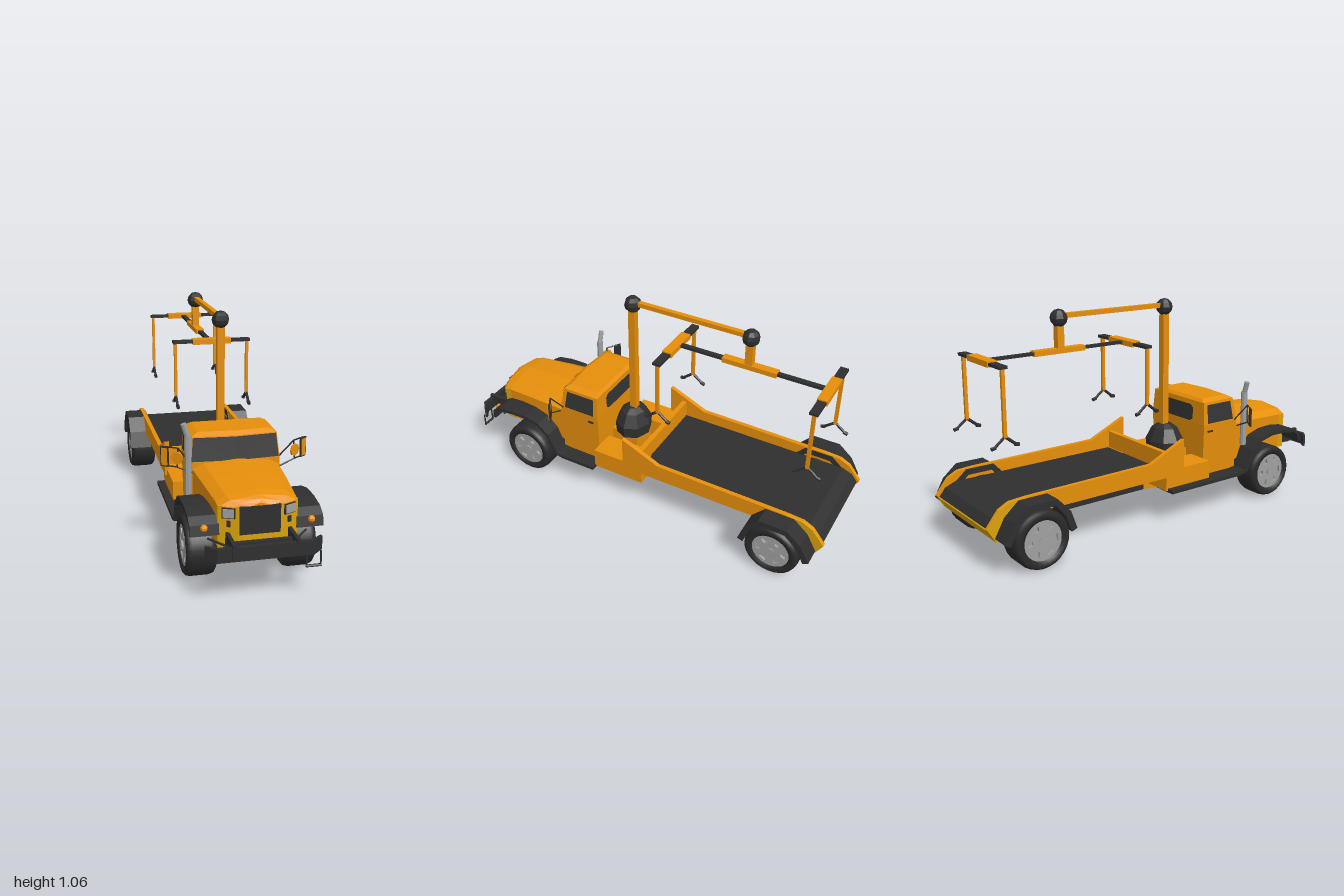
import * as THREE from 'three';

const paint = (name, color, side = THREE.FrontSide) => {
  const m = new THREE.MeshStandardMaterial({ color, side });
  m.name = name;
  return m;
};

export function createModel() {
  const truck = new THREE.Group();
  truck.name = 'craneTruck';
  const orange = paint('orange paint', 0xe68f0a);
  const gold = paint('gold paint', 0xd9a20c);
  const black = paint('black metal', 0x2f2f2f);
  const glass = paint('dark glass', 0x343434, THREE.DoubleSide);
  const rubber = paint('tyre rubber', 0x2a2a2a);
  const steel = paint('grey steel', 0xa0a0a0);

  // ---- helpers ----
  const V = (x, y, z) => new THREE.Vector3(x, y, z);
  const add = (name, geo, mat, smooth = false) => {
    if (!smooth) {
      if (geo.index) geo = geo.toNonIndexed();
      geo.computeVertexNormals();
    }
    const mesh = new THREE.Mesh(geo, mat);
    mesh.name = name;
    truck.add(mesh);
    return mesh;
  };
  // box from its limits in x, y and z
  const box = (name, mat, x0, x1, y0, y1, z0, z1) => add(name,
    new THREE.BoxGeometry(x1 - x0, y1 - y0, z1 - z0)
      .translate((x0 + x1) / 2, (y0 + y1) / 2, (z0 + z1) / 2), mat);
  // straight rod between two points
  const rod = (name, mat, a, b, r, sides = 6) => {
    const d = b.clone().sub(a);
    const g = new THREE.CylinderGeometry(r, r, d.length(), sides);
    g.applyQuaternion(new THREE.Quaternion().setFromUnitVectors(V(0, 1, 0), d.normalize()));
    const m = a.clone().add(b).multiplyScalar(0.5);
    return add(name, g.translate(m.x, m.y, m.z), mat);
  };
  // side profile of [z, y] points, extruded across x
  const profile = (name, mat, pts, x0, x1) => {
    const s = new THREE.Shape(pts.map(([z, y]) => new THREE.Vector2(-z, y)));
    const g = new THREE.ExtrudeGeometry(s, { depth: x1 - x0, bevelEnabled: false });
    return add(name, g.rotateY(Math.PI / 2).translate(x0, 0, 0), mat);
  };
  // bent sheet under a path of [z, y] points, running from front to back
  const sheet = (name, mat, pts, t, x0, x1) => {
    const inner = pts.map(([z, y], i) => {
      const a = pts[Math.max(i - 1, 0)], b = pts[Math.min(i + 1, pts.length - 1)];
      const dz = b[0] - a[0], dy = b[1] - a[1], l = Math.hypot(dz, dy);
      return [z - (dy / l) * t, y + (dz / l) * t];
    });
    return profile(name, mat, [...pts, ...inner.reverse()], x0, x1);
  };
  // closed solid through rings with equal point counts
  const loft = (name, mat, rings) => {
    const n = rings[0].length, last = (rings.length - 1) * n, idx = [];
    const p = rings.flat();
    for (let r = 0; r < rings.length - 1; r++) for (let i = 0; i < n; i++) {
      const a = r * n + i, b = r * n + (i + 1) % n;
      idx.push(a, b, b + n, a, b + n, a + n);
    }
    for (let i = 1; i < n - 1; i++) idx.push(0, i + 1, i, last, last + i, last + i + 1);
    let vol = 0;
    for (let i = 0; i < idx.length; i += 3)
      vol += V(...p[idx[i]]).dot(V(...p[idx[i + 1]]).cross(V(...p[idx[i + 2]])));
    if (vol < 0) idx.reverse();
    const g = new THREE.BufferGeometry();
    g.setAttribute('position', new THREE.Float32BufferAttribute(p.flat(), 3));
    g.setIndex(idx);
    return add(name, g, mat);
  };
  // flat convex plate
  const panel = (name, mat, pts) => {
    const g = new THREE.BufferGeometry().setFromPoints(pts.map(q => V(...q)));
    g.setIndex(pts.slice(2).flatMap((_, i) => [0, i + 1, i + 2]));
    return add(name, g, mat);
  };

  // ---- cab ----
  const cabRing = (y, w, z0, z1) =>
    [[-w, y, z0], [w, y, z0], [w, y, z1], [0, y, z1 + 0.015], [-w, y, z1]];
  loft('cab', orange, [cabRing(0.17, 0.2, 0.245, 0.465), cabRing(0.44, 0.207, 0.245, 0.465),
    cabRing(0.553, 0.196, 0.25, 0.445), cabRing(0.568, 0.165, 0.265, 0.42)]);
  panel('rearWindow', glass, [[-0.12, 0.46], [-0.1, 0.445], [0.1, 0.445], [0.12, 0.46],
    [0.12, 0.515], [0.1, 0.53], [-0.1, 0.53], [-0.12, 0.515]]
    .map(([x, y]) => [x, y, 0.242 + (y - 0.44) * 0.045]));
  for (const s of [-1, 1]) {
    panel('windshield', glass, [[0, 0.443, 0.482], [s * 0.202, 0.443, 0.467],
      [s * 0.192, 0.549, 0.449], [0, 0.549, 0.464]]);
    panel('sideWindow', glass, [[s * 0.209, 0.445, 0.27], [s * 0.209, 0.445, 0.44],
      [s * 0.2, 0.54, 0.425], [s * 0.2, 0.54, 0.27]]);
    box('doorHandle', black, s * 0.207 - 0.005, s * 0.207 + 0.005, 0.4, 0.408, 0.27, 0.3);
  }

  // ---- hood and nose ----
  const hoodRing = (z, w, sh, top, low) => [[-w, low, z], [-w, sh, z], [-w * 0.75, top - 0.015, z],
    [0, top, z], [w * 0.75, top - 0.015, z], [w, sh, z], [w, low, z]];
  loft('hood', orange, [hoodRing(0.46, 0.198, 0.41, 0.45, 0.22),
    hoodRing(0.65, 0.185, 0.405, 0.447, 0.22), hoodRing(0.82, 0.17, 0.395, 0.437, 0.22)]);
  loft('hoodLip', orange, [hoodRing(0.82, 0.172, 0.395, 0.437, 0.388),
    hoodRing(0.862, 0.16, 0.393, 0.43, 0.388), hoodRing(0.883, 0.115, 0.392, 0.42, 0.388),
    hoodRing(0.895, 0.06, 0.39, 0.408, 0.388)]);
  const noseRing = y => [[-0.17, y, 0.8], [-0.17, y, 0.855], [-0.09, y, 0.89],
    [0.09, y, 0.89], [0.17, y, 0.855], [0.17, y, 0.8]];
  loft('nosePanel', gold, [noseRing(0.21), noseRing(0.393)]);
  box('grille', black, -0.086, 0.086, 0.272, 0.395, 0.885, 0.896);
  for (const s of [-1, 1]) {
    const lamp = (name, mat, w, h, d, x, y) => {
      const m = add(name, new THREE.BoxGeometry(w, h, d), mat);
      m.position.set(s * x, y, 0.89 - (x - 0.09) * 0.44);
      m.rotation.y = s * 0.41;
    };
    lamp('headlightFrame', black, 0.056, 0.046, 0.012, 0.128, 0.365);
    lamp('headlight', steel, 0.046, 0.036, 0.022, 0.128, 0.365);
    lamp('markerLamp', black, 0.016, 0.026, 0.012, 0.128, 0.318);
  }

  // ---- front fenders flowing into running boards ----
  for (const s of [-1, 1]) {
    const back = s < 0 ? -0.02 : 0.24;
    const x0 = s < 0 ? -0.287 : 0.165, x1 = s < 0 ? -0.165 : 0.28;
    sheet('frontFender', black, [[0.87, 0.27], [0.86, 0.315], [0.82, 0.34], [0.74, 0.352],
      [0.65, 0.352], [0.57, 0.332], [0.51, 0.28], [0.465, 0.183], [0.43, 0.178], [back, 0.178]],
    0.018, x0, x1);
    const lamp = add('turnSignal', new THREE.SphereGeometry(0.016, 8, 5), orange);
    lamp.position.set(s * 0.228, 0.303, 0.866);
  }

  // ---- bumper ----
  const plan = new THREE.Shape([[-0.245, -0.945], [-0.2, -0.985], [0.2, -0.985], [0.245, -0.945],
    [0.24, -0.935], [0.195, -0.965], [-0.195, -0.965], [-0.24, -0.935]]
    .map(q => new THREE.Vector2(...q)));
  add('bumper', new THREE.ExtrudeGeometry(plan, { depth: 0.06, bevelEnabled: false })
    .rotateX(-Math.PI / 2).translate(0, 0.207, 0.012), black);
  box('bumperCrossbar', black, -0.13, 0.13, 0.22, 0.26, 0.92, 0.94);
  for (const s of [-1, 1]) {
    box('bumperStay', black, s * 0.132 - 0.008, s * 0.132 + 0.008, 0.215, 0.28, 0.82, 1.0);
    rod('bumperBrace', black, V(s * 0.135, 0.24, 0.93), V(s * 0.21, 0.25, 0.85), 0.005);
  }
  for (const x of [0.175, 0.235]) rod('stepSide', black, V(x, 0.21, 0.975), V(x, 0.147, 0.975), 0.004);
  rod('stepTread', black, V(0.172, 0.147, 0.975), V(0.238, 0.147, 0.975), 0.006);

  // ---- mirrors and exhaust ----
  for (const s of [-1, 1]) {
    const mirror = (name, mat, geo, x, z) => {
      const m = add(name, geo, mat);
      m.position.set(s * x, 0.475, z);
      m.rotation.y = s * 0.6;
    };
    mirror('mirrorCase', black, new THREE.BoxGeometry(0.038, 0.092, 0.008), 0.32, 0.452);
    mirror('mirrorPlate', orange, new THREE.BoxGeometry(0.028, 0.08, 0.005), 0.322, 0.456);
    mirror('roundMirror', orange, new THREE.CylinderGeometry(0.029, 0.029, 0.008, 8).rotateX(Math.PI / 2), 0.27, 0.487);
    const path = [[0.2, 0.43, 0.45], [0.265, 0.52, 0.485], [0.32, 0.52, 0.45],
      [0.32, 0.432, 0.45], [0.27, 0.432, 0.482], [0.19, 0.395, 0.48]].map(([a, b, c]) => V(s * a, b, c));
    path.slice(1).forEach((p, i) => rod('mirrorArm', black, path[i], p, 0.0035, 5));
    rod('mirrorPost', black, path[1], path[4], 0.0035, 5);
  }
  rod('exhaustPipe', steel, V(-0.224, 0.3, 0.5), V(-0.224, 0.58, 0.5), 0.016, 8);
  rod('exhaustTip', steel, V(-0.223, 0.57, 0.5), V(-0.243, 0.635, 0.5), 0.013, 8);

  // ---- bed ----
  profile('bedFloor', orange, [[0, 0.235], [0, 0.262], [-0.9, 0.262], [-0.9, 0.235]], -0.245, 0.245);
  sheet('bedDeck', black, [[-0.02, 0.268], [-0.9, 0.268], [-0.95, 0.248], [-0.98, 0.21]], 0.01, -0.242, 0.242);
  profile('tailPanel', gold, [[-0.88, 0.255], [-0.94, 0.24], [-0.978, 0.2], [-0.95, 0.15],
    [-0.93, 0.15], [-0.88, 0.235]], -0.24, 0.24);
  box('headboard', orange, -0.245, 0.245, 0.24, 0.355, -0.025, 0);
  const tail = [[-0.8, 0.24], [-0.8, 0.32], [-0.88, 0.315], [-0.93, 0.29], [-0.99, 0.215],
    [-0.95, 0.15], [-0.9, 0.24]];
  for (const s of [-1, 1]) {
    const x0 = s * 0.25 - 0.011, x1 = x0 + 0.022;
    profile('bedRail', orange, [[0.07, 0.24], [0.07, 0.415], [-0.13, 0.326], [-0.8, 0.32], [-0.8, 0.24]], x0, x1);
    // tail of the rail: orange inside, gold outer skin
    profile('tailRail', orange, tail, s < 0 ? x0 + 0.008 : x0, s < 0 ? x1 : x1 - 0.008);
    profile('tailRailSkin', gold, tail, s < 0 ? x0 : x1 - 0.008, s < 0 ? x0 + 0.008 : x1);
    const f0 = s < 0 ? -0.35 : 0.235;
    sheet('rearFender', black, [[-0.605, 0.16], [-0.635, 0.245], [-0.7, 0.315], [-0.84, 0.315],
      [-0.91, 0.255], [-0.957, 0.17]], 0.03, f0, f0 + 0.115);
    box('sideLocker', orange, Math.min(s * 0.11, s * 0.25), Math.max(s * 0.11, s * 0.25), 0.168, 0.268, -0.03, 0.245);
  }

  // ---- crane ----
  box('cranePedestal', orange, -0.07, 0.07, 0.17, 0.29, 0.1, 0.245);
  add('craneBase', new THREE.LatheGeometry([[0, 0.28], [0.1, 0.28], [0.105, 0.34], [0.07, 0.405], [0.035, 0.425], [0, 0.425]]
    .map(q => new THREE.Vector2(...q)), 8).scale(1, 1, 0.88).translate(0, 0, 0.158), black);
  box('cranePost', orange, -0.0175, 0.0175, 0.4, 1.0, 0.133, 0.168);
  for (const z of [0.15, -0.46])
    add('craneJoint', new THREE.SphereGeometry(0.042, 8, 6).translate(0, 1.022, z), black);
  box('craneBoom', orange, -0.012, 0.012, 1.02, 1.042, -0.46, 0.15);
  box('dropPost', orange, -0.0175, 0.0175, 0.87, 1.0, -0.478, -0.443);
  box('spreaderSleeve', orange, -0.02, 0.02, 0.862, 0.886, -0.6, -0.33);
  box('spreaderBeam', black, -0.012, 0.012, 0.867, 0.88, -0.85, -0.09);
  for (const [z, low] of [[-0.09, 0.595], [-0.845, 0.57]]) {
    box('crossSleeve', orange, -0.088, 0.104, 0.86, 0.886, z - 0.024, z + 0.024);
    box('crossBeam', black, -0.187, 0.203, 0.867, 0.88, z - 0.02, z + 0.02);
    for (const x of [-0.174, 0.19]) {
      box('hanger', orange, x - 0.007, x + 0.007, low, 0.867, z - 0.008, z + 0.008);
      for (const s of [-1, 1]) {
        rod('clampLeg', black, V(x, low + 0.005, z), V(x, low - 0.035, z + s * 0.05), 0.007);
        rod('clampFoot', black, V(x, low - 0.035, z + s * 0.045), V(x, low - 0.04, z + s * 0.066), 0.009);
      }
    }
  }

  // ---- underside ----
  const tray = new THREE.BoxGeometry(0.14, 0.075, 0.23).toNonIndexed().getAttribute('position').array;
  const trayGeo = new THREE.BufferGeometry();
  trayGeo.setAttribute('position', new THREE.Float32BufferAttribute(
    [...tray.slice(0, 36), ...tray.slice(54)], 3)); // lid left off
  const corners = trayGeo.getAttribute('position');
  for (let i = 0; i < corners.count; i++) // floor rises to the back
    if (corners.getY(i) < 0 && corners.getZ(i) < 0) corners.setY(i, -0.01);
  add('bellyTank', trayGeo.translate(0.008, 0.133, 0.085), orange);
  for (const s of [-1, 1]) {
    box('frameRail', black, s * 0.06 - 0.01, s * 0.06 + 0.01, 0.125, 0.165, -0.85, -0.03);
    rod('steeringLink', black, V(s * 0.1, 0.13, 0.6), V(s * 0.08, 0.11, 0.2), 0.005);
  }
  rod('tailPipe', steel, V(-0.12, 0.125, 0.4), V(-0.12, 0.115, 0.2), 0.008);
  rod('driveShaft', black, V(0, 0.14, -0.76), V(0, 0.13, 0.64), 0.008, 8);
  for (const z of [0.652, -0.767]) {
    rod('axle', black, V(-0.25, 0.135, z), V(0.25, 0.135, z), 0.014, 8);
    const slice = (x, lo, hi, d) => [[x, lo, z - d], [x, lo, z + d], [x, hi, z + d], [x, hi, z - d]];
    loft('differential', black, [slice(-0.11, 0.125, 0.148, 0.015), slice(-0.045, 0.1, 0.175, 0.04),
      slice(-0.02, 0.095, 0.205, 0.05), slice(0.02, 0.095, 0.205, 0.05),
      slice(0.045, 0.1, 0.175, 0.04), slice(0.11, 0.125, 0.148, 0.015)]);
  }

  // ---- wheels ----
  const tyre = [[0.088, -0.05], [0.094, -0.062], [0.118, -0.067], [0.13, -0.058], [0.135, -0.04],
    [0.135, 0.04], [0.13, 0.058], [0.118, 0.067], [0.094, 0.062], [0.088, 0.045], [0.088, -0.05]]
    .map(q => new THREE.Vector2(...q));
  const face = new THREE.Shape().absarc(0, 0, 0.092, 0, Math.PI * 2);
  for (let i = 0; i < 6; i++) {
    const a = i * Math.PI / 3, at = (r, d) => new THREE.Vector2(r * Math.cos(a + d), r * Math.sin(a + d));
    face.holes.push(new THREE.Path([at(0.05, -0.16), at(0.076, -0.24), at(0.076, 0.24), at(0.05, 0.16)]));
  }
  for (const s of [-1, 1]) for (const [x, z] of [[0.219, 0.652], [0.274, -0.767]]) {
    const place = m => { m.position.set(s * x, 0.136, z); m.rotation.y = s * Math.PI / 2; };
    place(add('tyre', new THREE.LatheGeometry(tyre, 28).rotateX(Math.PI / 2), rubber, true));
    place(add('rimBack', new THREE.CylinderGeometry(0.09, 0.09, 0.07, 20).rotateX(Math.PI / 2), steel));
    place(add('wheelInside', new THREE.CylinderGeometry(0.089, 0.089, 0.02, 20).rotateX(Math.PI / 2)
      .translate(0, 0, -0.04), black));
    place(add('rim', new THREE.ExtrudeGeometry(face, { depth: 0.012, bevelEnabled: false, curveSegments: 20 })
      .translate(0, 0, 0.046), steel));
    place(add('hubCap', new THREE.CylinderGeometry(0.025, 0.02, 0.012, 10).rotateX(Math.PI / 2)
      .translate(0, 0, 0.062), steel));
  }
  return truck;
}
